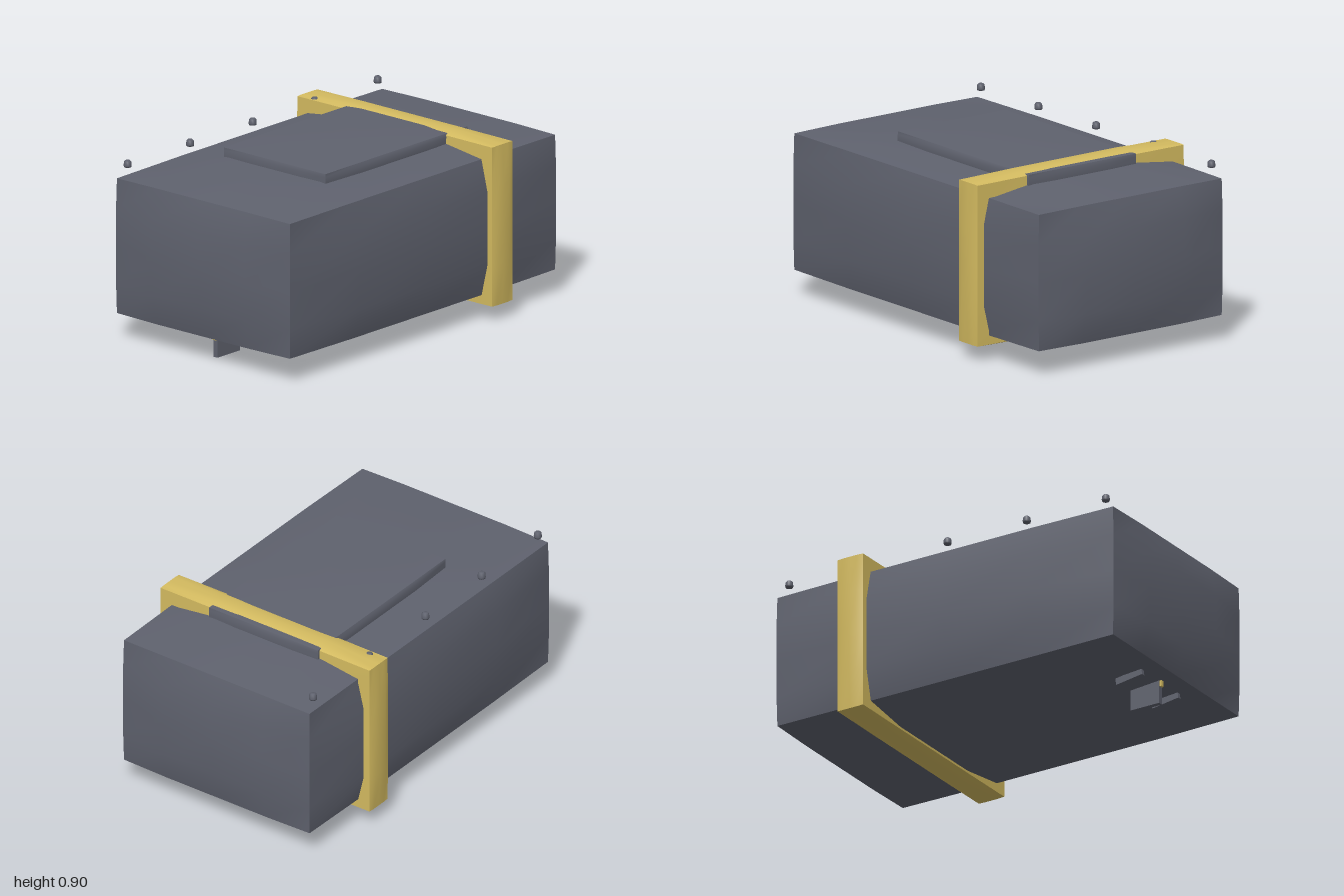
import * as THREE from 'three';

const grey = new THREE.MeshStandardMaterial({ color: 0x5f626e });
const yellow = new THREE.MeshStandardMaterial({ color: 0xd4bb60 });

// Box whose faces swell outwards to a flat middle; half = half sizes at the middles of the faces
function swollenBox(half, bulge) {
  const g = new THREE.BoxGeometry(2, 2, 2, 4, 4, 4);
  const p = g.attributes.position;
  const fall = (t) => Math.min(1, 2 - 2 * Math.abs(t));
  for (let i = 0; i < p.count; i++) {
    const c = [p.getX(i), p.getY(i), p.getZ(i)];
    const out = c.map((t, k) => {
      if (Math.abs(t) < 0.99) return t * half[k];
      const a = fall(c[(k + 1) % 3]), b = fall(c[(k + 2) % 3]);
      const swell = 0.85 * a * b + 0.075 * (a + b);
      return Math.sign(t) * (half[k] - bulge[k] * (1 - swell));
    });
    p.setXYZ(i, ...out);
  }
  g.computeVertexNormals();
  return g;
}

export function createModel() {
  const model = new THREE.Group();
  const add = (name, geometry, material, x, y, z) => {
    const m = new THREE.Mesh(geometry, material);
    m.name = name;
    m.position.set(x, y, z);
    model.add(m);
    return m;
  };

  // Main case
  add('body', swollenBox([1, 0.377, 0.595], [0.04, 0.038, 0.04]), grey, 0, 0.467, 0);

  // Band around the case
  add('strap', swollenBox([0.079, 0.416, 0.637], [0.006, 0.016, 0.012]), yellow, 0.498, 0.48, 0);

  // Raised lid on top
  add('topPanel', swollenBox([0.52, 0.049, 0.335], [0.006, 0.008, 0.01]), grey, 0.07, 0.847, 0);

  // Row of buttons along the back edge
  const buttonProfile = [[0, -0.016], [0.018, -0.016], [0.02, -0.008], [0.018, 0.01], [0.012, 0.017], [0, 0.017]]
    .map(([r, y]) => new THREE.Vector2(r, y));
  const buttonGeometry = new THREE.LatheGeometry(buttonProfile, 14);
  [-0.905, -0.453, 0, 0.45, 0.905].forEach((x) => add('button', buttonGeometry, grey, x, 0.871, -0.535));

  // Foot plate below, with a small pin and a slanted bar on either side
  add('footPlate', new THREE.BoxGeometry(0.165, 0.13, 0.025), grey, -0.79, 0.065, 0);
  add('footPin', new THREE.BoxGeometry(0.02, 0.03, 0.02), yellow, -0.874, 0.104, 0);
  for (const side of [-1, 1]) {
    const bar = add('footBar', new THREE.BoxGeometry(0.15, 0.035, 0.02), grey, -0.8, 0.097, side * 0.16);
    bar.rotation.z = -0.14;
  }

  return model;
}
